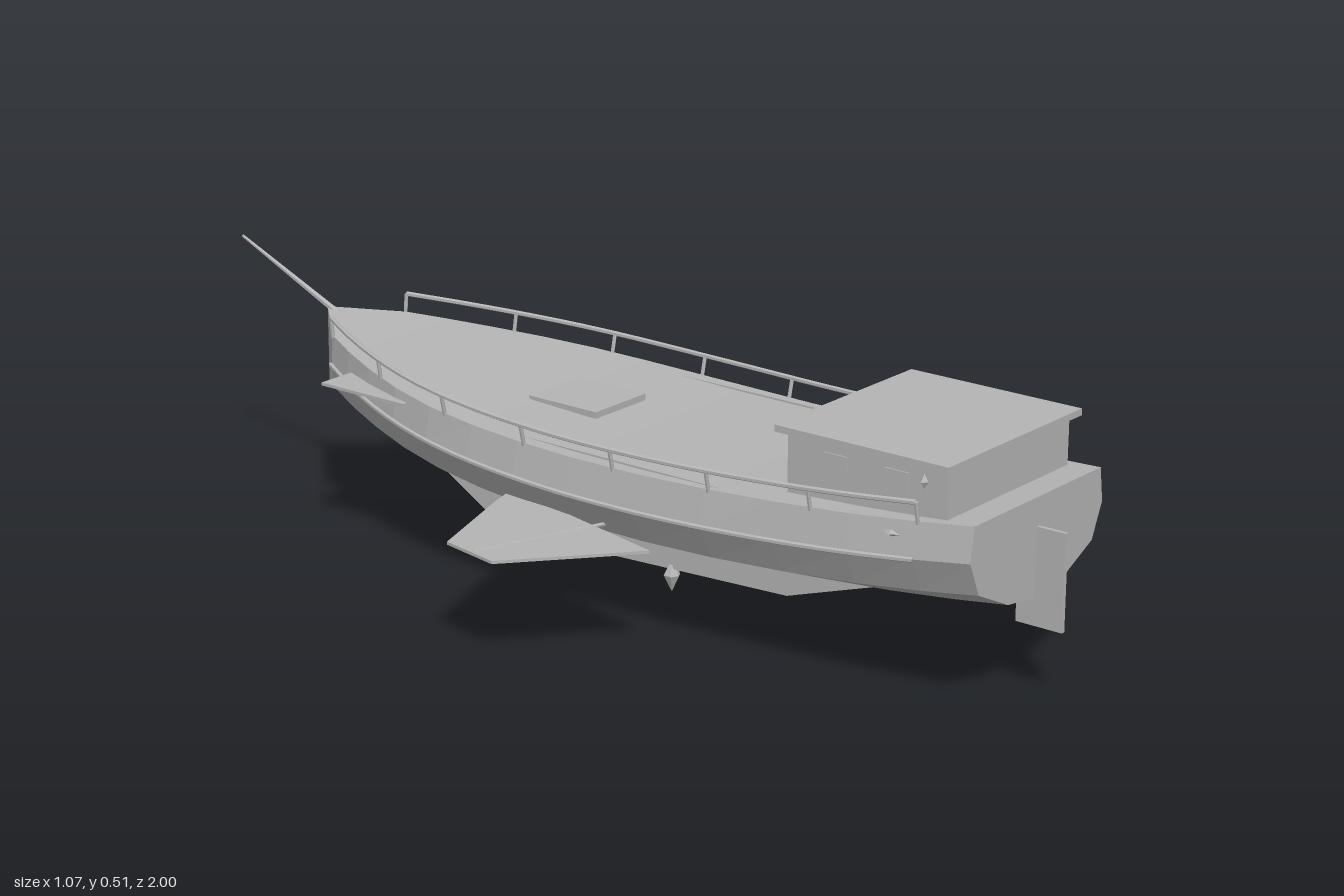
import * as THREE from 'three';

const grey = new THREE.MeshStandardMaterial({ color: 0xb4b4b4, flatShading: true });
grey.name = 'plain grey';

// Hull rules: half width, deck height and keel height along z (stern is +z)
const widths = [[0.94, 0.21], [0.83, 0.228], [0.7, 0.245], [0.55, 0.259], [0.4, 0.271], [0.25, 0.28], [0.1, 0.284],
  [-0.03, 0.281], [-0.15, 0.273], [-0.27, 0.256], [-0.38, 0.228], [-0.48, 0.192], [-0.57, 0.153], [-0.65, 0.112], [-0.765, 0]];
const halfWidth = (z) => {
  for (let i = 1; i < widths.length; i++) {
    const [z0, w0] = widths[i - 1], [z1, w1] = widths[i];
    if (z >= z1) return w0 + (w1 - w0) * (z0 - z) / (z0 - z1);
  }
  return 0;
};
const deckY = (z) => 0.337 + 0.069 * (z - 0.2) ** 2;
const keelY = (z) => 0.14 + 0.097 * (z - 0.25) ** 2;
const sideY = (z, f) => keelY(z) + (deckY(z) - keelY(z)) * f;

// Cross-section: fraction of half width, fraction of height
const half = [[0.955, 1], [1, 0.65], [0.86, 0.3], [0.41, 0.06], [0, 0]];
const section = [...half, ...half.slice(0, 4).reverse().map(([x, y]) => [-x, y])];

function hullGeometry() {
  const pos = [], index = [], n = section.length;
  for (const [z, w] of widths) for (const [fx, fy] of section) pos.push(fx * w, sideY(z, fy), z);
  for (let i = 0; i < widths.length - 1; i++) {
    for (let j = 0; j < n; j++) {
      const a = i * n + j, c = i * n + (j + 1) % n;
      index.push(a, c, a + n, c, c + n, a + n);
    }
  }
  for (let j = 1; j < n - 1; j++) index.push(0, j + 1, j); // transom
  const g = new THREE.BufferGeometry();
  g.setAttribute('position', new THREE.Float32BufferAttribute(pos, 3));
  g.setIndex(index);
  g.computeVertexNormals();
  return g;
}

// Flat plate from an outline, centred on its own thickness
function plate(points, thickness) {
  const shape = new THREE.Shape(points.map(([x, y]) => new THREE.Vector2(x, y)));
  const g = new THREE.ExtrudeGeometry(shape, { depth: thickness, bevelEnabled: false });
  return g.translate(0, 0, -thickness / 2);
}

// Round bar between two points
function bar(from, to, r0, r1, sides = 6) {
  const a = new THREE.Vector3(...from), d = new THREE.Vector3(...to).sub(a);
  const g = new THREE.CylinderGeometry(r1, r0, d.length(), sides);
  g.translate(0, d.length() / 2, 0);
  g.applyQuaternion(new THREE.Quaternion().setFromUnitVectors(new THREE.Vector3(0, 1, 0), d.normalize()));
  return g.translate(a.x, a.y, a.z);
}

export function createModel() {
  const model = new THREE.Group();
  model.name = 'ship';
  const add = (name, geometry, x = 0, y = 0, z = 0) => {
    const m = new THREE.Mesh(geometry, grey);
    m.name = name;
    m.position.set(x, y, z);
    model.add(m);
    return m;
  };
  const box = (name, w, h, d, x, y, z) => add(name, new THREE.BoxGeometry(w, h, d), x, y, z);

  add('hull', hullGeometry());

  // Stern cabin
  box('cabin', 0.38, 0.12, 0.342, 0, 0.4, 0.706);
  box('cabinRoof', 0.42, 0.013, 0.37, 0, 0.466, 0.705);
  box('cabinDoor', 0.07, 0.085, 0.006, 0, 0.395, 0.534);

  // Deck hatch, rudder, bowsprit
  box('hatch', 0.15, 0.016, 0.165, 0, 0.345, -0.083);
  box('rudder', 0.008, 0.186, 0.097, 0, 0.227, 0.9515);
  add('bowsprit', bar([0, 0.392, -0.735], [0, 0.508, -1], 0.007, 0.003));

  // Keel fin hanging below the hull, with its pendant
  const keel = plate([[-0.594, 0.123], [-0.4, 0.059], [0.289, 0.03], [0.45, 0.123]], 0.008);
  add('keelFin', keel.rotateY(Math.PI / 2));
  const drop = [[0, 0], [0.017, 0.035], [0.006, 0.055], [0, 0.06]].map(([x, y]) => new THREE.Vector2(x, y));
  add('keelPendant', new THREE.LatheGeometry(drop, 6), 0, 0, 0.125);

  // Thin fore plate running through the hull
  box('forePlate', 0.48, 0.006, 0.215, 0, 0.338, -0.448);

  const wing = [[0.24, -0.08], [0.287, -0.067], [0.51, 0.01], [0.535, 0.138], [0.315, 0.323], [0.26, 0.09]];
  const posts = Array.from({ length: 8 }, (_, i) => 0.834 - i * 0.212);

  for (const s of [1, -1]) {
    const side = s > 0 ? 'left' : 'right';

    // Side fin with its spar
    add(side + 'SideFin', plate(wing.map(([x, z]) => [s * x, -z]), 0.006).rotateX(-Math.PI / 2), 0, 0.217, 0);
    add(side + 'FinSpar', bar([s * 0.25, 0.217, 0.166], [s * 0.517, 0.217, 0.079], 0.004, 0.004));

    // Railing and rubbing strake follow the hull
    const path = (xAt, yAt) => new THREE.CatmullRomCurve3(Array.from({ length: 15 }, (_, i) => {
      const z = 0.834 - i * 0.106;
      return new THREE.Vector3(s * xAt(z), yAt(z), z);
    }));
    const railX = (z) => halfWidth(z) * 0.985;
    add(side + 'Rail', new THREE.TubeGeometry(path(railX, (z) => deckY(z) + 0.037), 28, 0.005, 6));
    add(side + 'RubbingStrake', new THREE.TubeGeometry(path((z) => halfWidth(z) + 0.002, (z) => sideY(z, 0.65)), 28, 0.005, 6));
    for (const z of posts) {
      add(side + 'RailPost', bar([s * halfWidth(z) * 0.95, deckY(z) - 0.005, z], [s * railX(z), deckY(z) + 0.037, z], 0.004, 0.004));
    }

    // Deck seam, cabin windows, stern lantern and hull lamp
    box(side + 'DeckSeam', 0.004, 0.006, 0.49, s * 0.24, 0.338, 0.195);
    for (const z of [0.64, 0.77]) box(side + 'CabinWindow', 0.006, 0.035, 0.05, s * 0.19, 0.42, z);
    add(side + 'Lantern', new THREE.OctahedronGeometry(0.014), s * 0.21, 0.437, 0.84).scale.set(0.7, 1, 0.7);
    add(side + 'HullLamp', new THREE.OctahedronGeometry(0.018), s * 0.232, 0.338, 0.79).scale.set(0.5, 0.35, 1);
  }
  return model;
}
